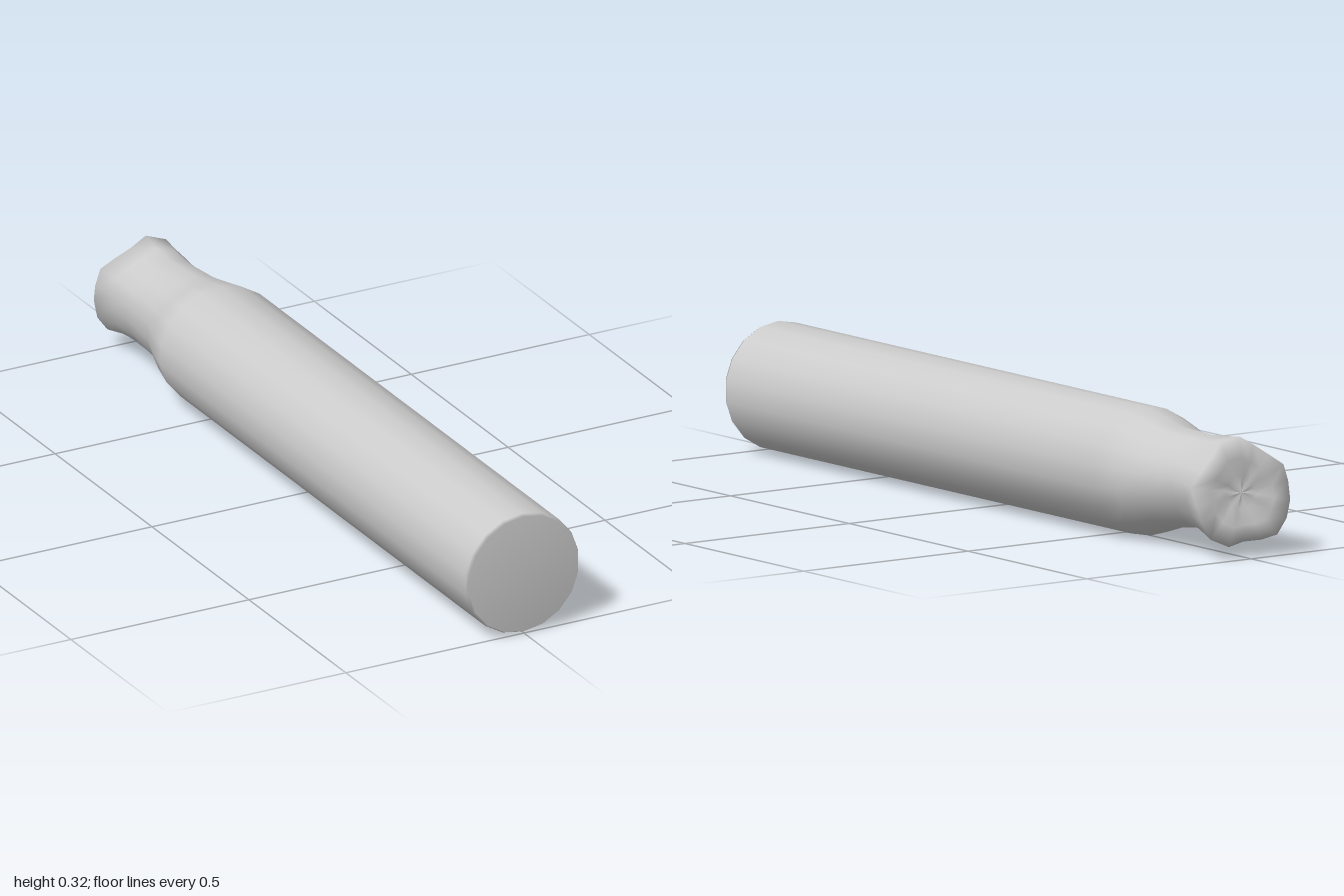
import * as THREE from 'three';

const SIDES = 18;

// Cross-sections from front to back:
// z, half width, half height, centre x, centre y, crumple amount, slant of the ring
const sections = [
  [1.00, 0, 0, 0, 0.16, 0, 0],
  [1.00, 0.155, 0.155, 0, 0.16, 0, 0],
  [0.99, 0.16, 0.16, 0, 0.16, 0, 0],
  [0.2, 0.16, 0.16, 0, 0.16, 0, 0],
  [-0.57, 0.16, 0.16, 0, 0.16, 0, 0.1],
  [-0.64, 0.144, 0.144, 0, 0.161, 0.1, 0.1],
  [-0.71, 0.127, 0.126, 0.003, 0.163, 0.3, 0.08],
  [-0.83, 0.119, 0.115, -0.002, 0.168, 0.5, 0.08],
  [-0.90, 0.122, 0.121, 0, 0.165, 0.8, 0.15],
  [-0.967, 0.131, 0.133, 0.004, 0.158, 1, 0.2],
  [-0.967, 0.085, 0.085, 0.002, 0.158, 0.8, 0.2],
  [-0.957, 0.04, 0.04, 0, 0.16, 0.5, 0.2],
  [-0.96, 0, 0, 0, 0.16, 0, 0.2],
];

// Lofts the sections into one closed, smooth surface
function loft(rows) {
  const positions = [];
  const index = [];
  rows.forEach(([z, w, h, cx, cy, crumple, slant], r) => {
    for (let s = 0; s < SIDES; s++) {
      const a = Math.PI / 2 + (s / SIDES) * Math.PI * 2;
      // Uneven dents around the pinched end
      const dent = 1 + crumple * (0.06 * Math.sin(5 * a + 0.6) + 0.045 * Math.cos(3 * a + 2) - 0.02);
      const x = w * Math.cos(a) * dent;
      const y = h * Math.sin(a) * dent;
      const ripple = crumple * 0.006 * Math.sin(7 * a) * (w > 0 ? 1 : 0);
      positions.push(cx + x, cy + y, Math.max(-1, z + slant * (x + y * 0.5) + ripple));
      if (r < rows.length - 1) {
        const i = r * SIDES + s;
        const j = r * SIDES + ((s + 1) % SIDES);
        if (rows[r + 1][1] > 0) index.push(i, i + SIDES, j + SIDES);
        if (w > 0) index.push(i, j + SIDES, j);
        if (rows[r + 1][1] === 0) index.push(i, i + SIDES, j + SIDES);
      }
    }
  });
  const geometry = new THREE.BufferGeometry();
  geometry.setAttribute('position', new THREE.Float32BufferAttribute(positions, 3));
  geometry.setIndex(index);
  geometry.computeVertexNormals();
  return geometry;
}

export function createModel() {
  const group = new THREE.Group();
  group.name = 'stub';
  const material = new THREE.MeshStandardMaterial({ color: 0xcccccc });

  // Round body narrowing to the crumpled end
  const body = new THREE.Mesh(loft(sections), material);
  body.name = 'stubBody';
  group.add(body);
  return group;
}
